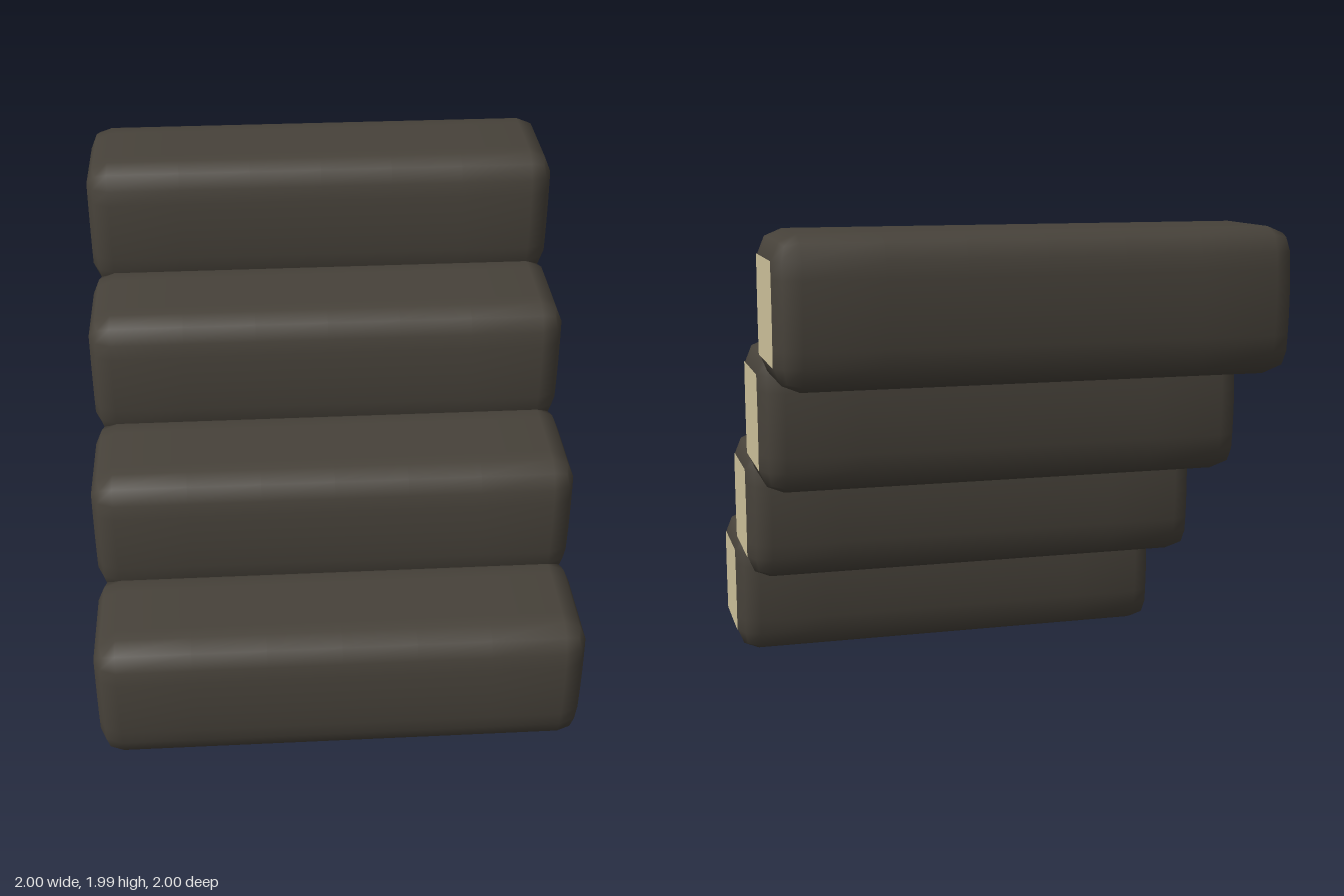
import * as THREE from 'three';
import { mergeVertices } from 'three/addons/utils/BufferGeometryUtils.js';

const HALF = { x: 0.997, y: 0.2835, z: 0.277 }; // half size of one log
const BEVEL = 0.094;
const SEG = 8; // outer cell on each side is the bevel, the rest is the flat middle

// Front and back faces swell gently at mid height
const bulge = (y) => 1 + 0.047 * Math.max(0, 1 - (y / 0.19) ** 2);

// Box with one cell of bevel around a flat core
function logGeometry() {
  let geo = new THREE.BoxGeometry(2, 2, 2, SEG, SEG, SEG);
  geo.deleteAttribute('normal');
  geo.deleteAttribute('uv');
  geo = mergeVertices(geo, 1e-4);
  const pos = geo.attributes.position;
  const inner = 1 - 2 / SEG;
  const core = new THREE.Vector3();
  const dir = new THREE.Vector3();
  for (let i = 0; i < pos.count; i++) {
    core.fromBufferAttribute(pos, i);
    for (const a of ['x', 'y', 'z']) {
      const t = core[a];
      dir[a] = Math.abs(t) > inner + 1e-3 ? Math.sign(t) : 0;
      core[a] = THREE.MathUtils.clamp(t / inner, -1, 1) * (HALF[a] - BEVEL);
    }
    core.addScaledVector(dir.normalize(), BEVEL);
    pos.setXYZ(i, core.x, core.y, core.z * bulge(core.y));
  }
  geo.computeVertexNormals();
  return geo;
}

// Thin pale cut face covering the flat end of a log
function endGeometry() {
  const geo = new THREE.PlaneGeometry(0.376, 0.382, 1, SEG - 2);
  const pos = geo.attributes.position;
  for (let i = 0; i < pos.count; i++) {
    pos.setX(i, pos.getX(i) * (1 + (bulge(pos.getY(i)) - 1) * 0.8));
  }
  return geo;
}

export function createModel() {
  const model = new THREE.Group();
  model.name = 'logStairs';

  const bark = new THREE.MeshStandardMaterial({ color: 0x47423a });
  bark.name = 'dark bark';
  const wood = new THREE.MeshStandardMaterial({ color: 0xcfc39c });
  wood.name = 'pale cut wood';

  const logGeo = logGeometry();
  const endGeo = endGeometry();

  // Four logs climbing towards the back
  for (let i = 0; i < 4; i++) {
    const step = new THREE.Group();
    step.name = `step${i + 1}`;
    step.position.set(0, 0.2835 + i * 0.473, 0.71 - i * 0.473);

    const log = new THREE.Mesh(logGeo, bark);
    log.name = 'log';
    step.add(log);

    for (const side of [1, -1]) {
      const end = new THREE.Mesh(endGeo, wood);
      end.name = side > 0 ? 'leftCutEnd' : 'rightCutEnd';
      end.position.x = side;
      end.rotation.y = (side * Math.PI) / 2;
      step.add(end);
    }
    model.add(step);
  }
  return model;
}
